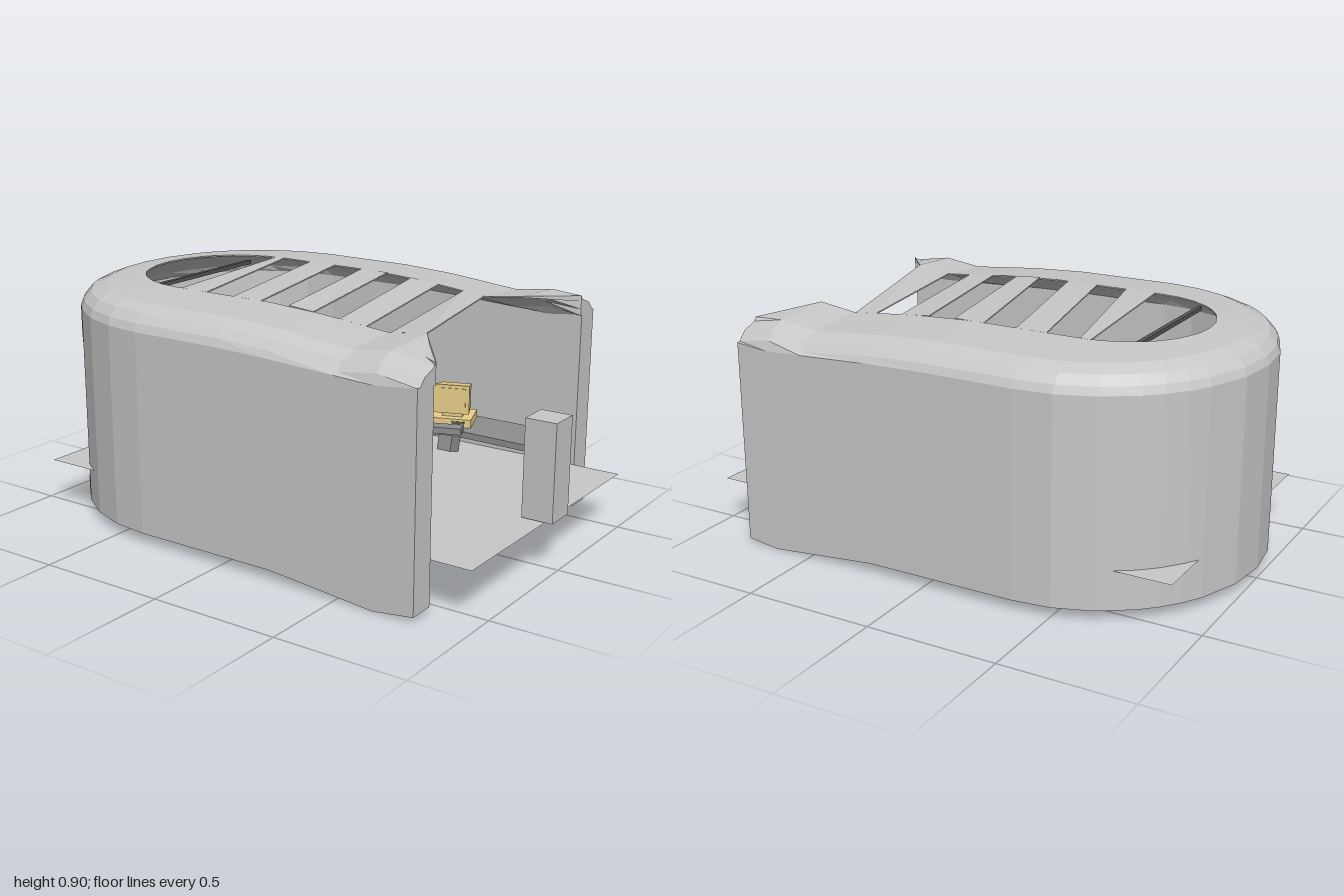
import * as THREE from 'three';

const mat = (name, color, extra = {}) => {
  const m = new THREE.MeshStandardMaterial({ color, flatShading: true, ...extra });
  m.name = name;
  return m;
};

// Piecewise linear lookup through [z, y] pairs
const ramp = (pts, z) => {
  if (z <= pts[0][0]) return pts[0][1];
  for (let i = 1; i < pts.length; i++) {
    const [z0, y0] = pts[i - 1], [z1, y1] = pts[i];
    if (z <= z1) return y0 + (y1 - y0) * (z - z0) / (z1 - z0);
  }
  return pts[pts.length - 1][1];
};
const roofDip = z => ramp([[0.1, 0], [0.5, -0.038], [0.65, -0.018], [0.81, -0.045]], z);
const shoulder = z => ramp([[0.1, 0.805], [0.65, 0.778], [0.81, 0.795]], z);
const wallFoot = z => ramp([[0.22, 0.042], [0.65, 0.002], [0.81, 0.022]], z);

// U-shaped wall curling over into a roof rim, with an arched doorway
function shellGeometry() {
  const arc = [0, 13, 26, 39, 46, 54, 61, 76, 90];
  const doorSplay = { 39: 33, 46: 45, 54: 56, 61: 67 }; // inner angles of the doorway
  const stations = [];
  // o: outer wall, w: inner wall, h: roof edge
  const straight = (side, z, reach) =>
    stations.push({ o: [side * 0.66, z], w: [side * 0.56, z], h: [side * (0.66 - reach), z], top: 0.66 });
  const ring = (side, deg, rx, rz, cz) => {
    const a = deg * Math.PI / 180;
    return [side * rx * Math.cos(a), cz - rz * Math.sin(a)];
  };
  const bend = (side, deg) => stations.push({
    o: ring(side, deg, 0.66, 0.64, -0.36),
    w: ring(side, (side < 0 && doorSplay[deg]) || deg, 0.56, 0.54, -0.36),
    h: ring(side, deg, side < 0 ? 0.345 : 0.325, 0.335, -0.44),
    top: deg === 46 || deg === 54 ? 0.692 : 0.662,
  });
  straight(-1, 0.81, 0.11);
  for (const z of [0.65, 0.5, 0.22, 0]) straight(-1, z, 0.315);
  const doorStart = stations.length + arc.indexOf(39);
  const doorEnd = stations.length + arc.indexOf(61);
  for (const d of arc) bend(-1, d);
  for (const d of arc.slice(0, -1).reverse()) bend(1, d);
  for (const z of [0, 0.22, 0.5, 0.65]) straight(1, z, 0.335);
  straight(1, 0.78, 0.11);

  const N = 16, pos = [], idx = [];
  for (const { o, w, h, top } of stations) {
    const dx = h[0] - o[0], dz = h[1] - o[1], L = Math.hypot(dx, dz);
    const dip = roofDip(o[1]), foot = wallFoot(o[1]), sh = shoulder(o[1]);
    const put = (d, y) => {
      const k = Math.min(d, L) / L;
      pos.push(o[0] + dx * k, y, o[1] + dz * k);
    };
    for (const y of [foot, 0.115, top, sh]) put(0, y);
    for (const [d, y] of [[0.012, 0.834], [0.042, 0.866], [0.1, 0.888], [L, 0.902],
      [L, 0.897], [0.2, 0.88], [0.15, 0.85], [0.12, 0.825]]) put(d, y + dip);
    for (const y of [sh - 0.005, top, 0.115, foot]) pos.push(w[0], y, w[1]);
  }
  const v = (j, i) => j * N + i % N;
  const quad = (a, b, c, d) => idx.push(a, b, c, a, c, d);
  for (let j = 0; j < stations.length - 1; j++) {
    const door = j >= doorStart && j < doorEnd;
    for (let i = 0; i < N; i++) {
      if (door && (i === 1 || i === 13)) continue;
      quad(v(j, i), v(j, i + 1), v(j + 1, i + 1), v(j + 1, i));
    }
    if (door) { // sill and arch
      quad(v(j, 1), v(j, 14), v(j + 1, 14), v(j + 1, 1));
      quad(v(j, 2), v(j + 1, 2), v(j + 1, 13), v(j, 13));
    }
  }
  // door jambs
  quad(v(doorStart, 1), v(doorStart, 2), v(doorStart, 13), v(doorStart, 14));
  quad(v(doorEnd, 14), v(doorEnd, 13), v(doorEnd, 2), v(doorEnd, 1));
  // front ends of the wall
  const e = stations.length - 1;
  for (let i = 0; i < 7; i++) {
    quad(v(0, i), v(0, 15 - i), v(0, 14 - i), v(0, i + 1));
    quad(v(e, i), v(e, i + 1), v(e, 14 - i), v(e, 15 - i));
  }
  const g = new THREE.BufferGeometry();
  g.setAttribute('position', new THREE.Float32BufferAttribute(pos, 3));
  g.setIndex(idx);
  const flat = g.toNonIndexed();
  flat.computeVertexNormals();
  return flat;
}

// Thin slanted roof slat between the two rims
function slatGeometry([l0, l1, r0, r1]) {
  const g = new THREE.BoxGeometry(1, 1, 1);
  const p = g.attributes.position;
  for (let i = 0; i < p.count; i++) {
    const right = p.getX(i) > 0, front = p.getZ(i) > 0;
    const z = right ? (front ? r1 : r0) : (front ? l1 : l0);
    p.setXYZ(i, right ? 0.327 : -0.347, (p.getY(i) > 0 ? 0.902 : 0.897) + roofDip(z), z);
  }
  g.computeVertexNormals();
  return g;
}

export function createModel() {
  const model = new THREE.Group();
  model.name = 'pavilion';
  const stone = mat('pale grey', 0xc8c8c8, { side: THREE.DoubleSide });
  const steel = mat('desk grey', 0x8f8f8f);
  const dark = mat('dark grey', 0x555555);
  const beige = mat('beige plastic', 0xecd38c);
  const orange = mat('orange', 0xd0680c);
  const brown = mat('brown', 0x742f08);

  const add = (parent, name, geo, material, x = 0, y = 0, z = 0) => {
    const m = new THREE.Mesh(geo, material);
    m.name = name;
    m.position.set(x, y, z);
    parent.add(m);
    return m;
  };
  const box = (parent, name, material, w, h, d, x, y, z) =>
    add(parent, name, new THREE.BoxGeometry(w, h, d), material, x, y, z);
  const group = (name, x, y, z, turn = 0) => {
    const g = new THREE.Group();
    g.name = name;
    g.position.set(x, y, z);
    g.rotation.y = turn;
    model.add(g);
    return g;
  };

  add(model, 'wallAndRoofRim', shellGeometry(), stone);
  const slats = [
    [-0.41, -0.29, -0.48, -0.44], [-0.165, -0.04, -0.31, -0.19], [0.085, 0.19, -0.06, 0.06],
    [0.3, 0.41, 0.17, 0.29], [0.51, 0.65, 0.4, 0.49],
  ];
  for (const s of slats) add(model, 'roofSlat', slatGeometry(s), stone);
  box(model, 'skylightBar', dark, 0.63, 0.015, 0.018, -0.015, 0.872, -0.6);

  // Floor sheet and the post at the entrance
  const floor = add(model, 'floor', new THREE.PlaneGeometry(1.12, 1.875), stone, 0, 0.19, 0.0275);
  floor.rotation.x = -Math.PI / 2;
  box(model, 'entrancePost', stone, 0.12, 0.365, 0.12, -0.004, 0.378, 0.94);

  // Corner desk with a curved inner corner
  const s = new THREE.Shape();
  s.moveTo(-0.035, 0.07);
  s.lineTo(0.45, 0.07);
  s.quadraticCurveTo(0.535, 0.07, 0.535, 0.16);
  s.lineTo(0.535, 0.745);
  s.lineTo(0.315, 0.745);
  s.lineTo(0.322, 0.39);
  s.quadraticCurveTo(0.31, 0.27, 0.2, 0.26);
  s.lineTo(-0.035, 0.26);
  const desk = group('desk', 0, 0, 0);
  const top = add(desk, 'deskTop', new THREE.ExtrudeGeometry(s, { depth: 0.025, bevelEnabled: false, curveSegments: 6 }), steel, 0, 0.32, 0);
  top.rotation.x = Math.PI / 2;
  for (const [x, z] of [[-0.015, 0.09], [-0.015, 0.24], [0.335, 0.725], [0.515, 0.725], [0.42, 0.095]])
    box(desk, 'deskLeg', steel, 0.036, 0.12, 0.036, x, 0.24, z);
  const support = box(desk, 'slantedSupport', steel, 0.07, 0.1, 0.06, 0.425, 0.245, 0.3);
  support.rotation.z = -0.25;

  // Old desktop computer, turned to face the room
  const pc = group('computer', 0.42, 0.32, 0.32, -70 * Math.PI / 180);
  box(pc, 'computerCase', beige, 0.16, 0.032, 0.15, 0, 0.016, 0);
  box(pc, 'driveSlot', dark, 0.05, 0.01, 0.006, 0.03, 0.018, 0.075);
  box(pc, 'monitorStand', beige, 0.08, 0.02, 0.08, 0, 0.04, 0);
  const monitor = new THREE.BoxGeometry(0.14, 0.115, 0.125);
  const p = monitor.attributes.position;
  for (let i = 0; i < p.count; i++) {
    if (p.getZ(i) > 0) continue;
    p.setX(i, p.getX(i) * 0.8);
    if (p.getY(i) > 0) p.setY(i, p.getY(i) - 0.025);
  }
  monitor.computeVertexNormals();
  add(pc, 'monitor', monitor, beige, 0, 0.108, 0);
  box(pc, 'screen', beige, 0.11, 0.085, 0.006, 0, 0.11, 0.0625);
  box(pc, 'keyboard', steel, 0.12, 0.025, 0.055, 0, 0.014, 0.15);

  // Ribbed stools
  for (const [x, z, turn] of [[-0.055, -0.695, 0.55], [0.388, -0.295, 0.35]]) {
    const stool = group('ribbedStool', x, 0.18, z, turn);
    for (let i = 0; i < 13; i++) {
      const rib = i % 2 === 1;
      const w = rib ? 0.135 : 0.129;
      box(stool, rib ? 'rib' : 'groove', rib ? orange : brown, w, 0.0096, w, 0, 0.0048 + i * 0.0096, 0);
    }
  }
  return model;
}
